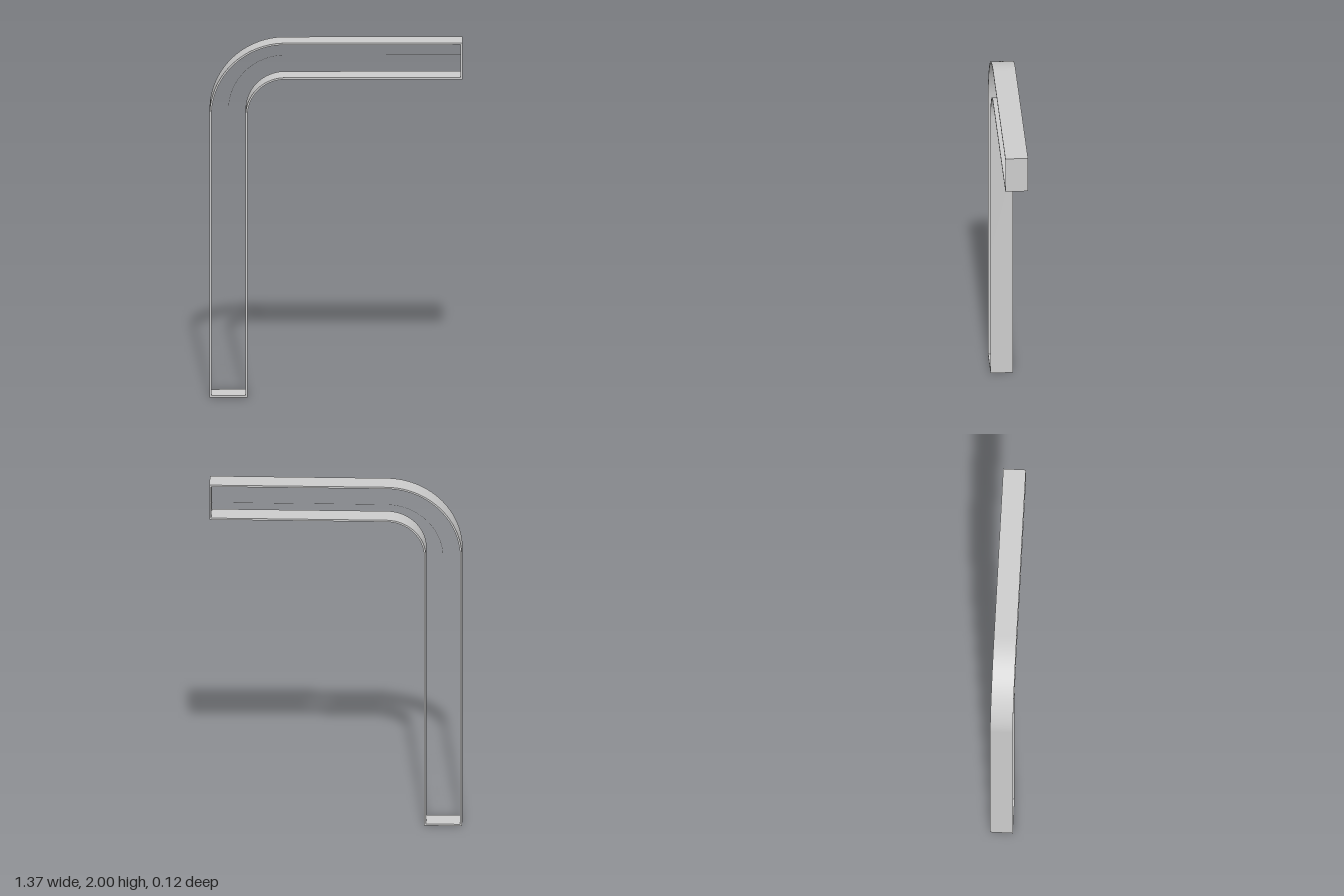
import * as THREE from 'three';
import { toCreasedNormals } from 'three/addons/utils/BufferGeometryUtils.js';

const HALF = 0.685, TOP = 2, WIDTH = 0.205, DEPTH = 0.123, WALL = 0.01;
const CX = -0.275, CY = 1.59, R = 0.41; // centre and outer radius of the bend

// Outline of the bent channel, pulled inwards by d
function outline(path, d) {
  const rOut = R - d, rIn = R - WIDTH + d;
  path.moveTo(CX - rOut, d);
  path.lineTo(CX - rIn, d);
  path.lineTo(CX - rIn, CY);
  path.absarc(CX, CY, rIn, Math.PI, Math.PI / 2, true);
  path.lineTo(HALF - d, CY + rIn);
  path.lineTo(HALF - d, CY + rOut);
  path.lineTo(CX, CY + rOut);
  path.absarc(CX, CY, rOut, Math.PI / 2, Math.PI, false);
  path.closePath();
  return path;
}

export function createModel() {
  const group = new THREE.Group();
  const material = new THREE.MeshStandardMaterial({ color: 0xcccccc });

  // Thin-walled rim, open at front and back
  const shape = outline(new THREE.Shape(), 0);
  shape.holes.push(outline(new THREE.Path(), WALL));
  const rimGeometry = new THREE.ExtrudeGeometry(shape, { depth: DEPTH, bevelEnabled: false, curveSegments: 32 });
  rimGeometry.translate(0, 0, -DEPTH / 2);
  const rim = new THREE.Mesh(toCreasedNormals(rimGeometry, Math.PI / 6), material);
  rim.name = 'channelRim';
  group.add(rim);

  // Hair-thin centre line along the back edge
  const mid = R - WIDTH / 2, z = -DEPTH / 2 + 0.001;
  const line = new THREE.CurvePath();
  const bend = [];
  for (let i = 0; i <= 24; i++) {
    const a = Math.PI - (i / 24) * Math.PI / 2;
    bend.push(new THREE.Vector3(CX + mid * Math.cos(a), CY + mid * Math.sin(a), z));
  }
  const points = [new THREE.Vector3(CX - mid, WALL, z), ...bend, new THREE.Vector3(HALF - WALL, TOP - WIDTH / 2, z)];
  for (let i = 1; i < points.length; i++) line.add(new THREE.LineCurve3(points[i - 1], points[i]));
  const wire = new THREE.Mesh(new THREE.TubeGeometry(line, 160, 0.0007, 4), material);
  wire.name = 'centreLine';
  group.add(wire);

  return group;
}
